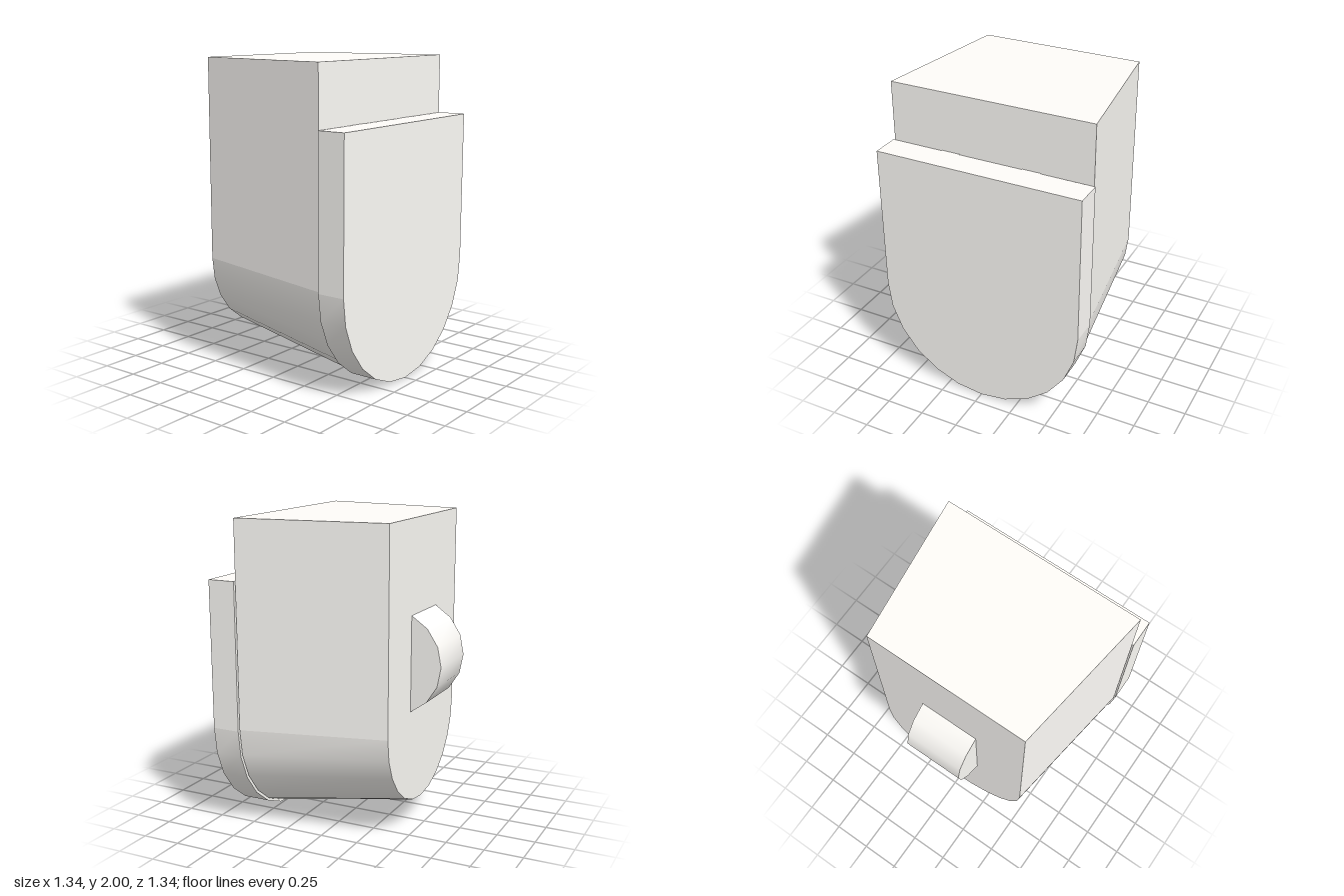
import * as THREE from 'three';
import { toCreasedNormals } from 'three/addons/utils/BufferGeometryUtils.js';

const material = new THREE.MeshStandardMaterial({ color: 0xfffdf9 });

// U-shaped outline: flat top, half-round bottom
function uShape(radius, centreY, topY) {
  const s = new THREE.Shape();
  s.moveTo(-radius, topY);
  s.lineTo(-radius, centreY);
  s.absarc(0, centreY, radius, Math.PI, 2 * Math.PI, false);
  s.lineTo(radius, topY);
  s.closePath();
  return s;
}

function extrude(shape, depth, curveSegments) {
  return new THREE.ExtrudeGeometry(shape, { depth, curveSegments, bevelEnabled: false });
}

// Smooth the round bottom, keep the walls above seamY truly flat
function smoothBelow(geometry, seamY) {
  geometry.computeVertexNormals();
  const flat = geometry.attributes.normal.clone();
  const smooth = toCreasedNormals(geometry, 0.6);
  const { position, normal } = smooth.attributes;
  for (let i = 0; i < position.count; i++) {
    if (position.getY(i) > seamY) normal.setXYZ(i, flat.getX(i), flat.getY(i), flat.getZ(i));
  }
  return smooth;
}

function addPart(group, name, geometry) {
  const mesh = new THREE.Mesh(geometry, material);
  mesh.name = name;
  group.add(mesh);
  return mesh;
}

export function createModel() {
  const group = new THREE.Group();
  group.name = 'model';

  // Front plate
  const plate = extrude(uShape(0.672, 0.672, 1.62), 0.18, 6).translate(0, 0, 0.49);
  addPart(group, 'frontPlate', smoothBelow(plate, 0.66));

  // Body: the outline narrows towards the back while the top stays level
  const zBack = -0.474, zFront = 0.484;
  const body = extrude(uShape(0.663, 0.68, 2), zFront - zBack, 6).translate(0, 0, zBack);
  const p = body.attributes.position;
  for (let i = 0; i < p.count; i++) {
    const t = (zFront - p.getZ(i)) / (zFront - zBack);
    const scale = THREE.MathUtils.lerp(1, 0.535 / 0.663, t);
    const y = p.getY(i);
    p.setX(i, p.getX(i) * scale);
    if (y < 0.69) p.setY(i, THREE.MathUtils.lerp(0.68, 0.715, t) + (y - 0.68) * scale);
  }
  addPart(group, 'body', smoothBelow(body, 0.66));

  // Thin spacers joining the plate to the body
  for (const side of [-1, 1]) {
    const spacer = addPart(group, side > 0 ? 'leftSpacer' : 'rightSpacer',
      new THREE.BoxGeometry(0.12, 0.12, 0.012));
    spacer.position.set(side * 0.27, 1.56, 0.487);
  }

  // Rounded lug on the back, drawn as a circular segment and run along x
  const angle = 1.145;
  const lugShape = new THREE.Shape();
  lugShape.absarc(0, 0, 0.336, -angle, angle, false);
  lugShape.closePath();
  const lug = extrude(lugShape, 0.393, 3).translate(0, 0, -0.1965);
  lug.rotateY(Math.PI / 2).translate(0, 1.105, -0.335);
  addPart(group, 'backLug', toCreasedNormals(lug, 0.6));

  return group;
}
